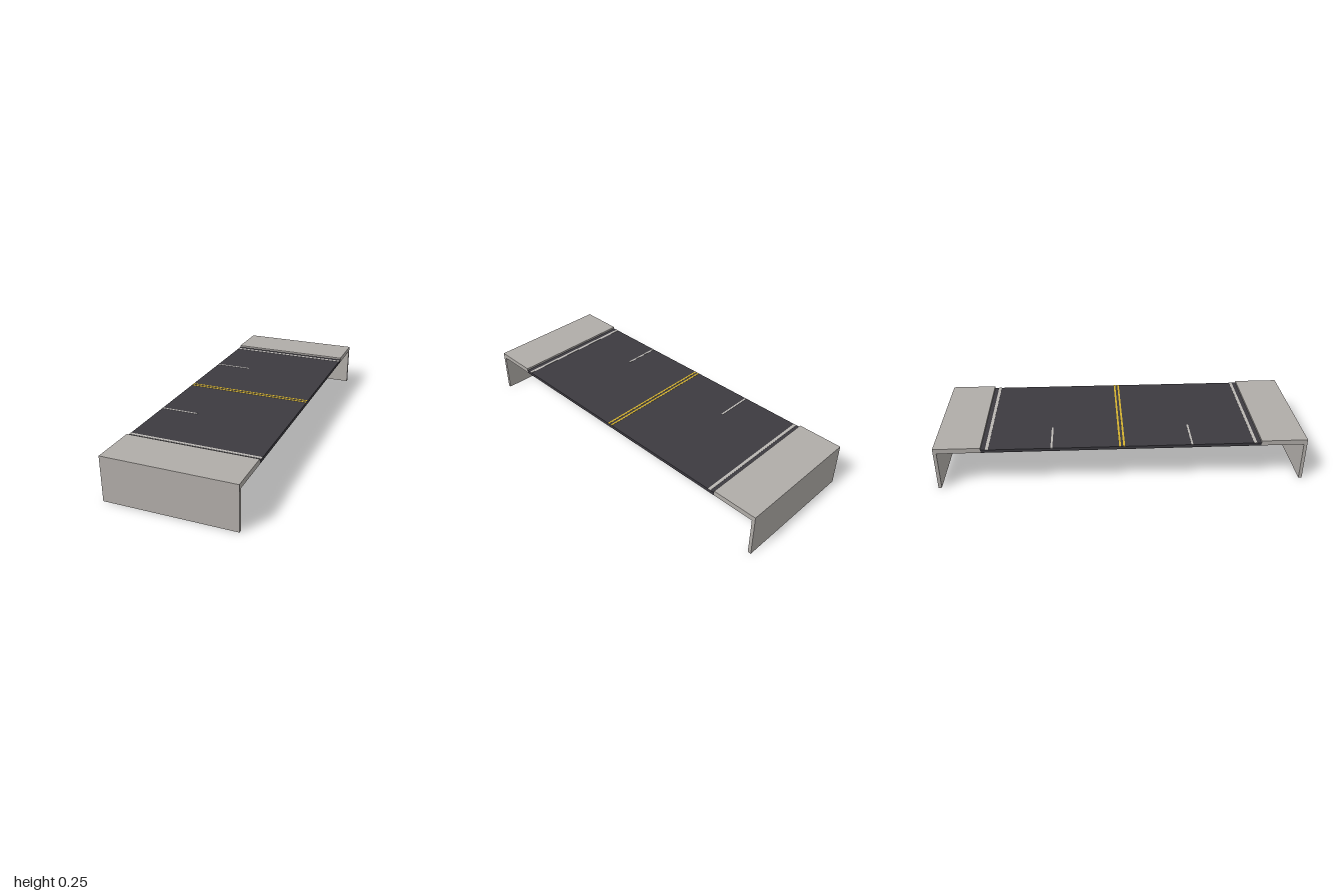
import * as THREE from 'three';

export function createModel() {
  const model = new THREE.Group();
  model.name = 'roadSection';

  const material = (name, color) => {
    const m = new THREE.MeshStandardMaterial({ color });
    m.name = name;
    return m;
  };
  const concrete = material('concrete', 0xb0aca8);
  const asphalt = material('asphalt', 0x3c3a40);
  const whitePaint = material('white paint', 0xbab7b3);
  const yellowPaint = material('yellow paint', 0xd2b02f);

  const HALF_WIDTH = 0.356, BOTTOM = 0.219, ROAD_TOP = 0.236, TOP = 0.247;
  const CURB = 0.75, WALL = 0.018;

  // Box given by its limits on each axis
  const box = (name, mat, [x0, x1], [y0, y1], [z0, z1]) => {
    const mesh = new THREE.Mesh(new THREE.BoxGeometry(x1 - x0, y1 - y0, z1 - z0), mat);
    mesh.position.set((x0 + x1) / 2, (y0 + y1) / 2, (z0 + z1) / 2);
    mesh.name = name;
    model.add(mesh);
  };
  const across = [-HALF_WIDTH, HALF_WIDTH];

  // Road deck
  box('roadDeck', asphalt, across, [BOTTOM, ROAD_TOP], [-CURB, CURB]);

  // Thin painted line lying on the road, centred on z
  const line = (name, mat, xs, z, width) =>
    box(name, mat, xs, [ROAD_TOP, ROAD_TOP + 0.001], [z - width / 2, z + width / 2]);

  for (const [end, s] of [['front', 1], ['back', -1]]) {
    const span = (a, b) => (s > 0 ? [a, b] : [-b, -a]);
    // Raised sidewalk and the wall hanging from its outer edge
    box(end + 'Sidewalk', concrete, across, [BOTTOM, TOP], span(CURB, 1));
    box(end + 'Wall', concrete, across, [0, BOTTOM], span(1 - WALL, 1));
    // Road markings
    line(end + 'EdgeLine', whitePaint, across, s * 0.718, 0.016);
    line(end + 'LaneDash', whitePaint, [-HALF_WIDTH, -0.145], s * 0.376, 0.01);
    line(end + 'CentreLine', yellowPaint, across, s * 0.011, 0.01);
  }

  return model;
}
